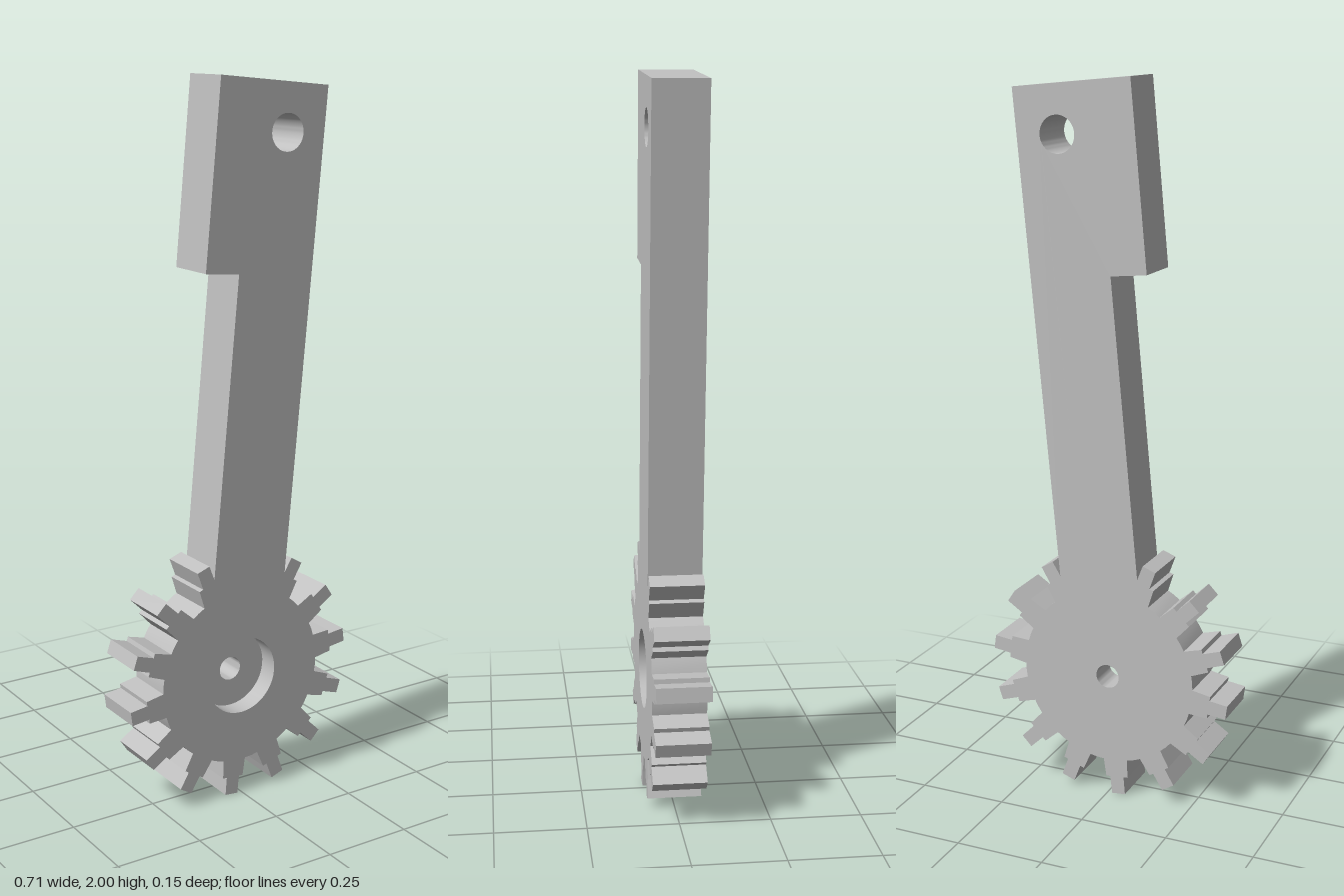
import * as THREE from 'three';
import { toCreasedNormals } from 'three/addons/utils/BufferGeometryUtils.js';

const HALF = 0.074;      // half the plate thickness
const TEETH = 14;        // one tooth position is taken by the arm
const ROOT = 0.252, STEP = 0.305, TIP = 0.357;
const RECESS = 0.111, BORE = 0.034, FLOOR = HALF - 0.06;
const SEG = 24;

// Point at a radial distance r and sideways offset w from the ray at angle a
const polar = (a, r, w) => new THREE.Vector2(
  r * Math.cos(a) - w * Math.sin(a), r * Math.sin(a) + w * Math.cos(a));

function circleHole(x, y, r) {
  const path = new THREE.Path();
  path.absarc(x, y, r, 0, Math.PI * 2, true);
  return path;
}

// Arm with its hooked head, then the stepped teeth counter-clockwise
function outline() {
  const pts = [
    [0.117, 0.29], [0.117, 1.627], [-0.22, 1.627],
    [-0.22, 1.124], [-0.117, 1.124], [-0.117, 0.29],
  ].map(([x, y]) => new THREE.Vector2(x, y));

  const tooth = [
    [ROOT, -0.036], [STEP, -0.033], [STEP, -0.0205], [TIP, -0.02],
    [TIP, 0.02], [STEP, 0.0205], [STEP, 0.033], [ROOT, 0.036],
  ];
  const pitch = Math.PI * 2 / TEETH;
  for (let k = 1; k < TEETH; k++) {
    const a = Math.PI / 2 + k * pitch;
    // The teeth beside the arm lose the shoulder that the arm covers
    const first = k === 1 ? 3 : 0, last = k === TEETH - 1 ? 5 : 8;
    for (const [r, w] of tooth.slice(first, last)) pts.push(polar(a, r, w));
    if (k < TEETH - 1) pts.push(polar(a + pitch / 2, 0.255, 0));
  }
  return new THREE.Shape(pts);
}

export function createModel() {
  const metal = new THREE.MeshStandardMaterial({ color: 0xc0c0c0 });
  metal.name = 'light grey';

  const model = new THREE.Group();
  model.name = 'gearLever';

  // Plate: arm and toothed wheel in one piece
  const shape = outline();
  shape.holes.push(circleHole(0, 1.497, 0.05), circleHole(0, 0, RECESS));
  const plateGeometry = new THREE.ExtrudeGeometry(shape, {
    depth: HALF * 2, bevelEnabled: false, curveSegments: SEG,
  });
  plateGeometry.translate(0, 0, -HALF);
  const plate = new THREE.Mesh(toCreasedNormals(plateGeometry, 0.5), metal);
  plate.name = 'armAndGearPlate';

  // Hub: recess floor, bore and back face
  const profile = [[RECESS, FLOOR], [BORE, FLOOR], [BORE, -HALF], [RECESS, -HALF]]
    .map(([r, y]) => new THREE.Vector2(r, y));
  const hubGeometry = new THREE.LatheGeometry(profile, SEG * 2);
  hubGeometry.rotateX(Math.PI / 2);
  const hub = new THREE.Mesh(toCreasedNormals(hubGeometry, 0.5), metal);
  hub.name = 'recessedHub';

  // The whole lever leans to one side about the hub
  const lever = new THREE.Group();
  lever.name = 'lever';
  lever.add(plate, hub);
  lever.position.y = 0.358;
  lever.rotation.z = -THREE.MathUtils.degToRad(5.4);
  model.add(lever);
  return model;
}
